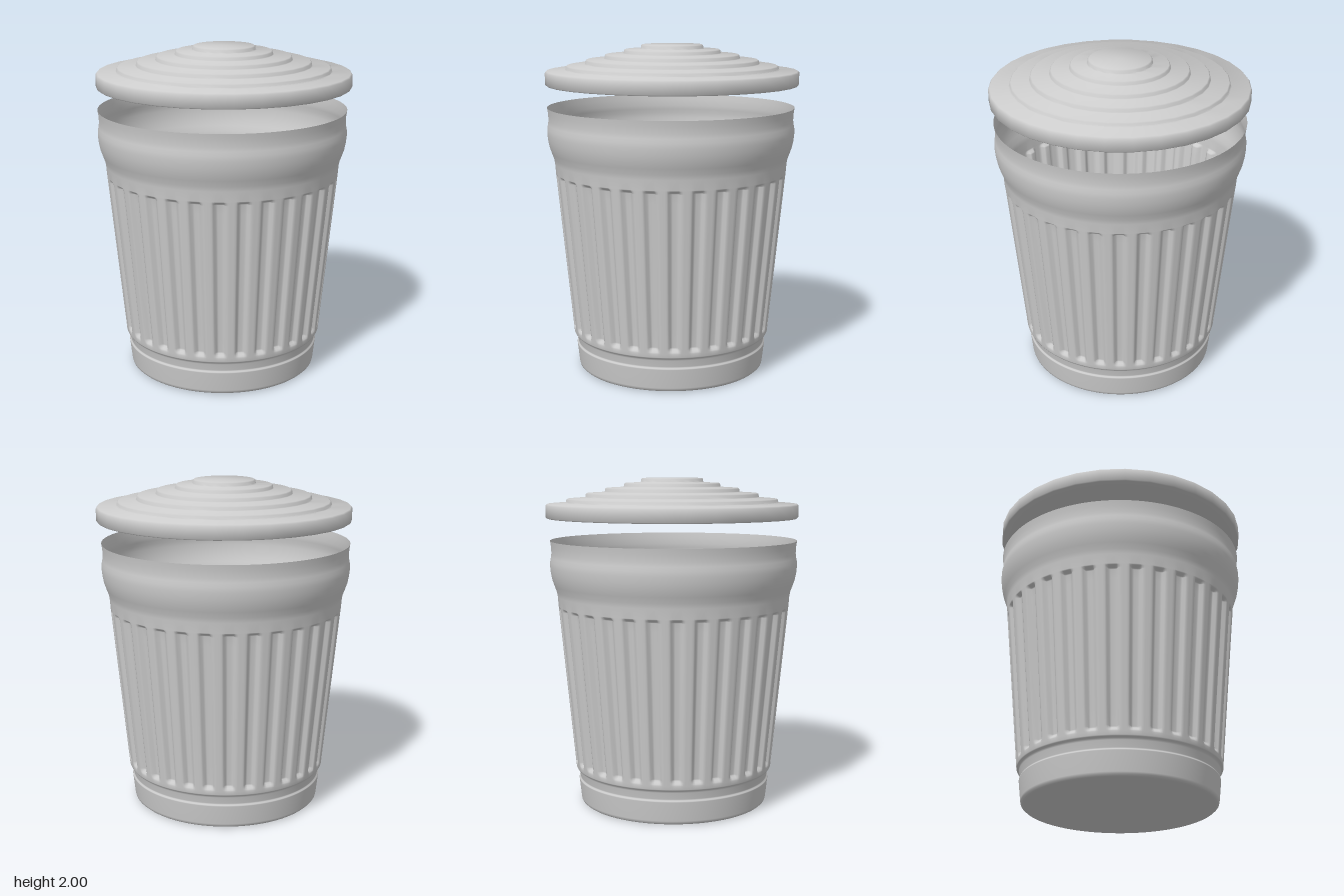
import * as THREE from 'three';
import { mergeVertices, toCreasedNormals } from 'three/addons/utils/BufferGeometryUtils.js';

const GROOVES = 32, SAMPLES = 12, DEPTH = 0.026;
const GROOVE_BOTTOM = 0.245, GROOVE_TOP = 1.23;
const smooth = THREE.MathUtils.smoothstep;
const points = (list) => list.map(([r, y]) => new THREE.Vector2(r, y));

// Depth of the rounded vertical grooves at an angle and height (0 to 1)
function grooveAmount(angle, y) {
  const turn = angle / (Math.PI * 2) * GROOVES;
  const fromCentre = Math.abs(turn - Math.floor(turn) - 0.5);
  const across = 1 - smooth(fromCentre, 0.14, 0.29);
  const along = smooth(y, GROOVE_BOTTOM, GROOVE_BOTTOM + 0.035)
    * (1 - smooth(y, GROOVE_TOP - 0.025, GROOVE_TOP));
  return across * along;
}

// Thin tapered shell: foot, ledge, grooved wall and bulging collar
function bodyGeometry() {
  const profile = [
    [0, 0], [0.55, 0], [0.567, 0.003], [0.577, 0.012], [0.58, 0.025],
    [0.593, 0.142], [0.592, 0.148], [0.585, 0.153], [0.585, 0.16],
    [0.593, 0.2], [0.596, 0.212], [0.607, 0.217], [0.61, 0.224],
  ];
  // Wall rows, packed closely at both ends of the grooves
  const rows = [0.245, 0.254, 0.263, 0.272, 0.28, 0.4, 0.6, 0.8, 1.0, 1.15,
    1.205, 1.211, 1.218, 1.224, 1.23];
  for (const y of rows) profile.push([0.61 + (y - 0.224) * 0.096, y]);
  profile.push([0.711, 1.29], [0.717, 1.32], [0.73, 1.355], [0.742, 1.39],
    [0.75, 1.43], [0.754, 1.47], [0.753, 1.5], [0.748, 1.525],
    [0.745, 1.55], [0.747, 1.59], [0.752, 1.625]);

  let geo = new THREE.LatheGeometry(points(profile), GROOVES * SAMPLES);
  const pos = geo.attributes.position;
  for (let i = 0; i < pos.count; i++) {
    const x = pos.getX(i), y = pos.getY(i), z = pos.getZ(i);
    const r = Math.hypot(x, z);
    if (r < 0.1 || y < GROOVE_BOTTOM || y > GROOVE_TOP) continue;
    const k = 1 - DEPTH * grooveAmount(Math.atan2(x, z), y) / r;
    pos.setXYZ(i, x * k, y, z * k);
  }
  // Weld the seam so the shading runs smoothly round the shell
  geo.deleteAttribute('uv');
  geo.deleteAttribute('normal');
  geo = mergeVertices(geo, 1e-5);
  geo.computeVertexNormals();
  return geo;
}

// Stepped lid with a recessed underside
function lidGeometry() {
  const profile = [
    [0, 1.81], [0.685, 1.81], [0.685, 1.76],
    [0.762, 1.76], [0.768, 1.766], [0.768, 1.836], [0.76, 1.845],
  ];
  const steps = [[0.645, 1.852, 1.876], [0.527, 1.884, 1.91],
    [0.41, 1.916, 1.941], [0.294, 1.947, 1.971], [0.19, 1.975, 2]];
  for (const [r, low, high] of steps) {
    profile.push([r + 0.004, low], [r, low + 0.004], [r - 0.002, high - 0.006], [r - 0.009, high]);
  }
  profile.push([0, 2]);
  const geo = new THREE.LatheGeometry(points(profile), 32);
  geo.deleteAttribute('uv');
  return toCreasedNormals(geo, 0.85);
}

export function createModel() {
  const group = new THREE.Group();
  group.name = 'dustbin';
  const material = new THREE.MeshStandardMaterial({ color: 0xcccccc, side: THREE.DoubleSide });

  const body = new THREE.Mesh(bodyGeometry(), material);
  body.name = 'body';
  body.position.set(-0.01, 0, -0.003);
  group.add(body);

  // Lid hovers above the open collar
  const lid = new THREE.Mesh(lidGeometry(), material);
  lid.name = 'lid';
  group.add(lid);
  return group;
}
